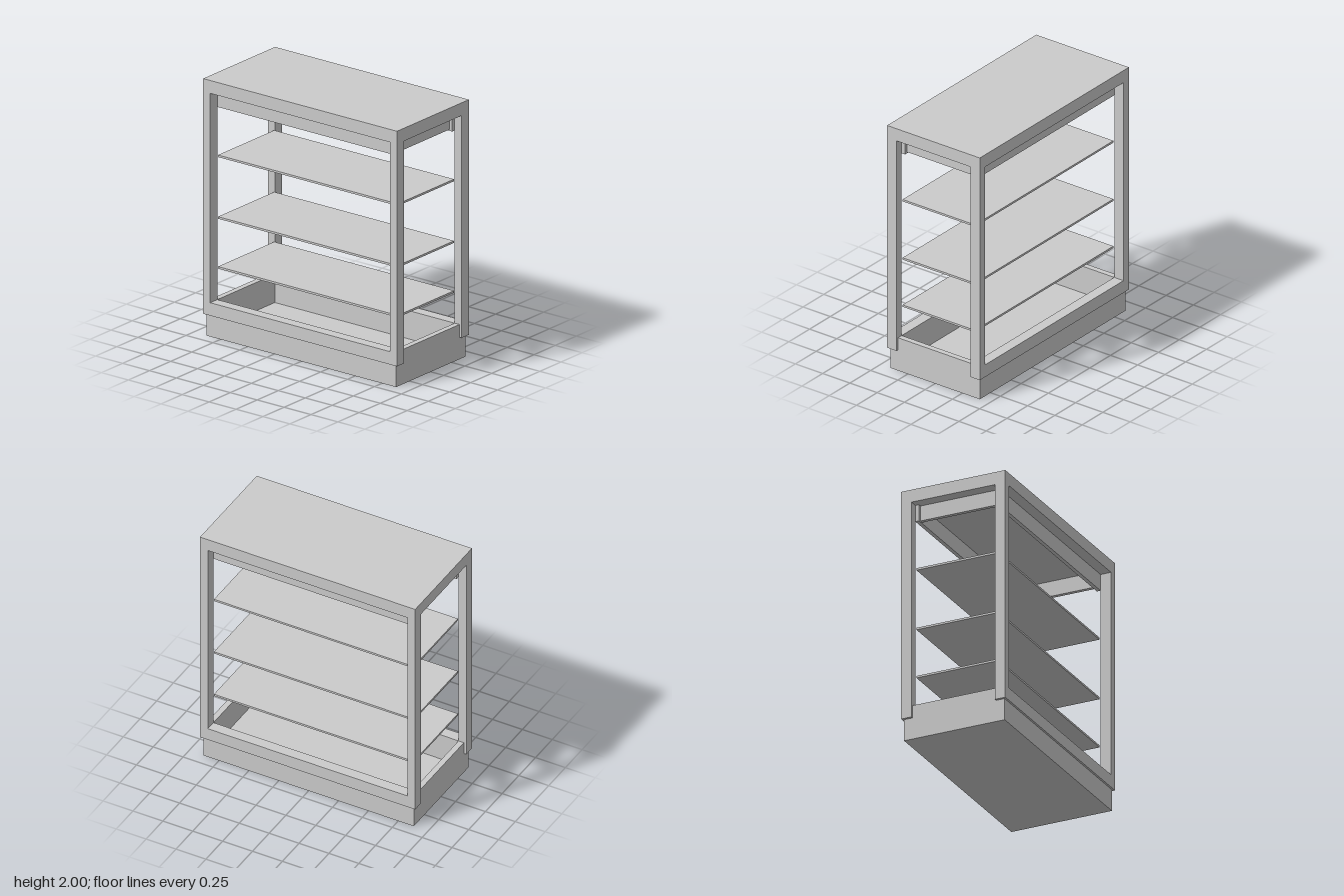
import * as THREE from 'three';

export function createModel() {
  const model = new THREE.Group();
  const material = new THREE.MeshStandardMaterial({ color: 0xcccccc, flatShading: true });

  // Box given by its lower and upper limits on each axis
  const box = (name, [x0, x1], [y0, y1], [z0, z1]) => {
    const mesh = new THREE.Mesh(new THREE.BoxGeometry(x1 - x0, y1 - y0, z1 - z0), material);
    mesh.position.set((x0 + x1) / 2, (y0 + y1) / 2, (z0 + z1) / 2);
    mesh.name = name;
    model.add(mesh);
  };
  // Range between two distances from the centre, on the given side
  const span = (side, a, b) => (side > 0 ? [a, b] : [-b, -a]);

  const W = 0.9, D = 0.425;       // outer half width and half depth
  const inW = 0.835, inD = 0.34;  // half size of the openings
  const railY = 0.17, trayY = 0.27, topY = 1.9;

  // Top slab and tray floor
  box('top', [-W, W], [topY, 2], [-D, D]);
  box('trayFloor', [-inW, inW], [0, 0.05], [-inD, inD]);

  for (const s of [1, -1]) {
    const end = s > 0 ? 'front' : 'back';
    const side = s > 0 ? 'left' : 'right';

    // Plinth walls; the side walls rise between the posts
    box(end + 'PlinthWall', [-0.88, 0.88], [0, railY], span(s, inD, 0.41));
    box(side + 'PlinthWall', span(s, inW, 0.88), [0, trayY], [-inD, inD]);

    // Bottom rail of the frame
    box(end + 'BottomRail', [-inW, inW], [railY, trayY], span(s, inD, D));

    // Corner posts
    for (const t of [1, -1]) {
      box(end + (t > 0 ? 'Left' : 'Right') + 'Post', span(t, inW, W), [railY, topY], span(s, inD, D));
    }

    // Valance boards under the top
    box(end + 'Valance', [-inW, inW], [1.77, topY], span(s, 0.31, inD));
    box(side + 'Valance', span(s, 0.78, 0.81), [1.78, topY], [-0.31, 0.31]);
  }

  // Thin shelves
  for (const y of [0.517, 0.905, 1.385]) {
    box('shelf', [-inW, inW], [y - 0.008, y + 0.008], [-0.332, 0.332]);
  }
  return model;
}
